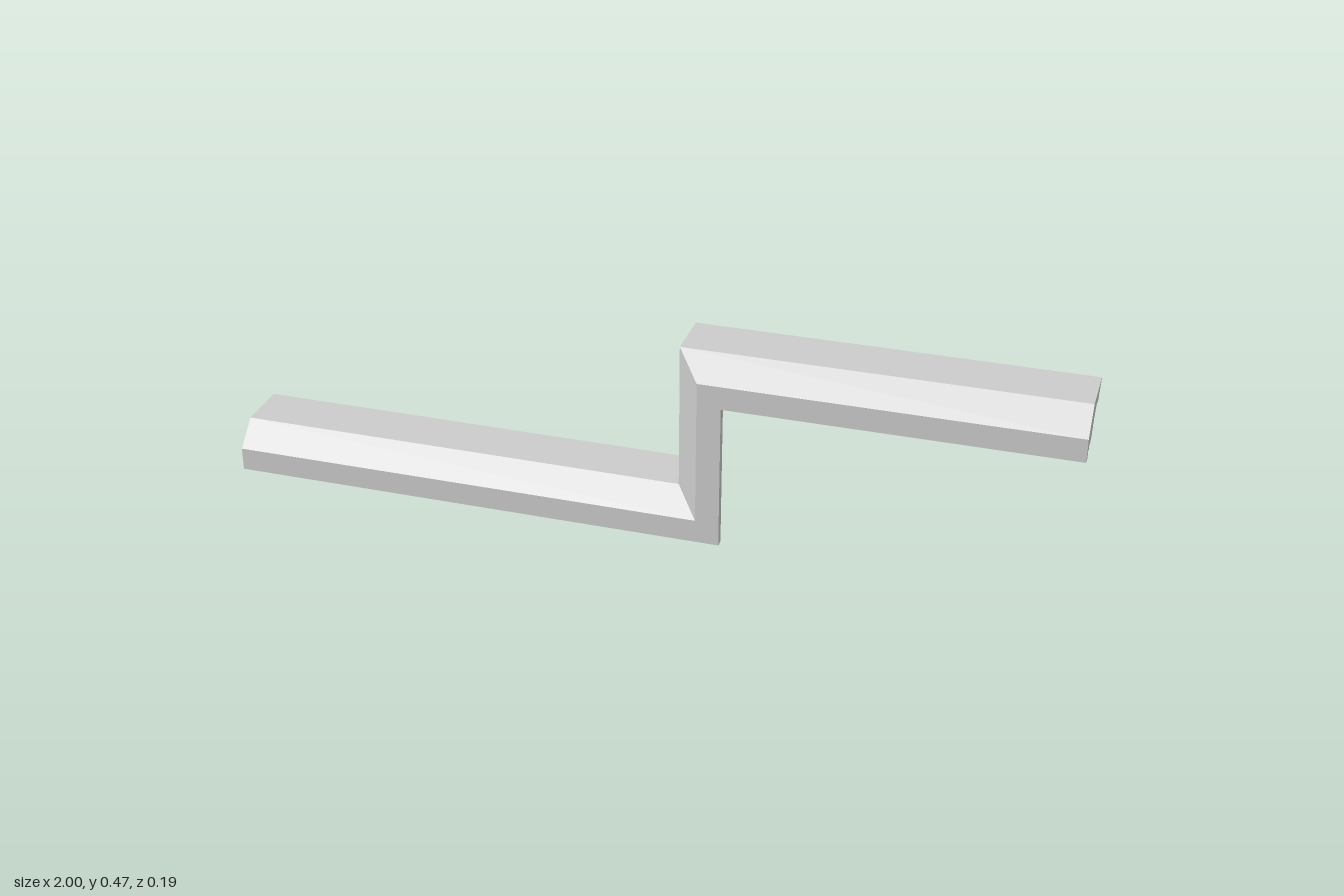
import * as THREE from 'three';
import { toCreasedNormals } from 'three/addons/utils/BufferGeometryUtils.js';

const RISE = 0.353;   // height step between the two horizontal runs
const CORNER = 0.197; // x of the riser's inner (right-hand) face

// Moulding cross-section as (z, h), from the top back edge round the front and underneath
function profile() {
  const v = (z, h) => new THREE.Vector2(z, h);
  const ogee = new THREE.SplineCurve([
    v(0.062, 0.026), v(0.052, 0.022), v(0.042, 0.021), v(0.031, 0.026), v(0.021, 0.037),
    v(0.011, 0.053), v(0, 0.065), v(-0.015, 0.076), v(-0.03, 0.08), v(-0.043, 0.077),
    v(-0.054, 0.075), v(-0.062, 0.079),
  ]).getPoints(44);
  return [
    v(-0.093, 0.112), v(0.036, 0.112), v(0.093, 0.056), v(0.093, 0), v(0.074, 0),
    v(0.074, 0.017), v(0.062, 0.017),
    ...ogee,
    v(-0.062, 0.089), v(-0.075, 0.089), v(-0.075, 0.1), v(-0.093, 0.1),
  ];
}

// Skin between two stations; each station maps a profile point to 3D
function run(points, from, to) {
  const a = points.map(from), b = points.map(to);
  const pos = [];
  points.forEach((_, i) => {
    const j = (i + 1) % points.length;
    for (const p of [a[i], a[j], b[j], a[i], b[j], b[i]]) pos.push(...p);
  });
  const geo = new THREE.BufferGeometry();
  geo.setAttribute('position', new THREE.Float32BufferAttribute(pos, 3));
  return toCreasedNormals(geo, 0.5);
}

// Flat end face, side -1 = right end, +1 = left end
function endCap(points, side) {
  const shape = new THREE.Shape(points.map((p) => new THREE.Vector2(-side * p.x, p.y)));
  return new THREE.ShapeGeometry(shape)
    .rotateY(side * Math.PI / 2)
    .translate(side, side > 0 ? RISE : 0, 0);
}

export function createModel() {
  const group = new THREE.Group();
  group.name = 'steppedMoulding';
  const material = new THREE.MeshStandardMaterial({ color: 0xcccccc });
  const points = profile();

  // Stations along the path: the two inner ones are the 45-degree mitres
  const stations = [
    (p) => [-1, p.y, p.x],
    (p) => [CORNER - p.y, p.y, p.x],
    (p) => [CORNER - p.y, RISE + p.y, p.x],
    (p) => [1, RISE + p.y, p.x],
  ];

  const add = (name, geometry) => {
    const mesh = new THREE.Mesh(geometry, material);
    mesh.name = name;
    group.add(mesh);
  };
  ['lowerRun', 'riser', 'upperRun'].forEach((name, i) => {
    add(name, run(points, stations[i], stations[i + 1]));
  });
  add('rightEndCap', endCap(points, -1));
  add('leftEndCap', endCap(points, 1));
  return group;
}
